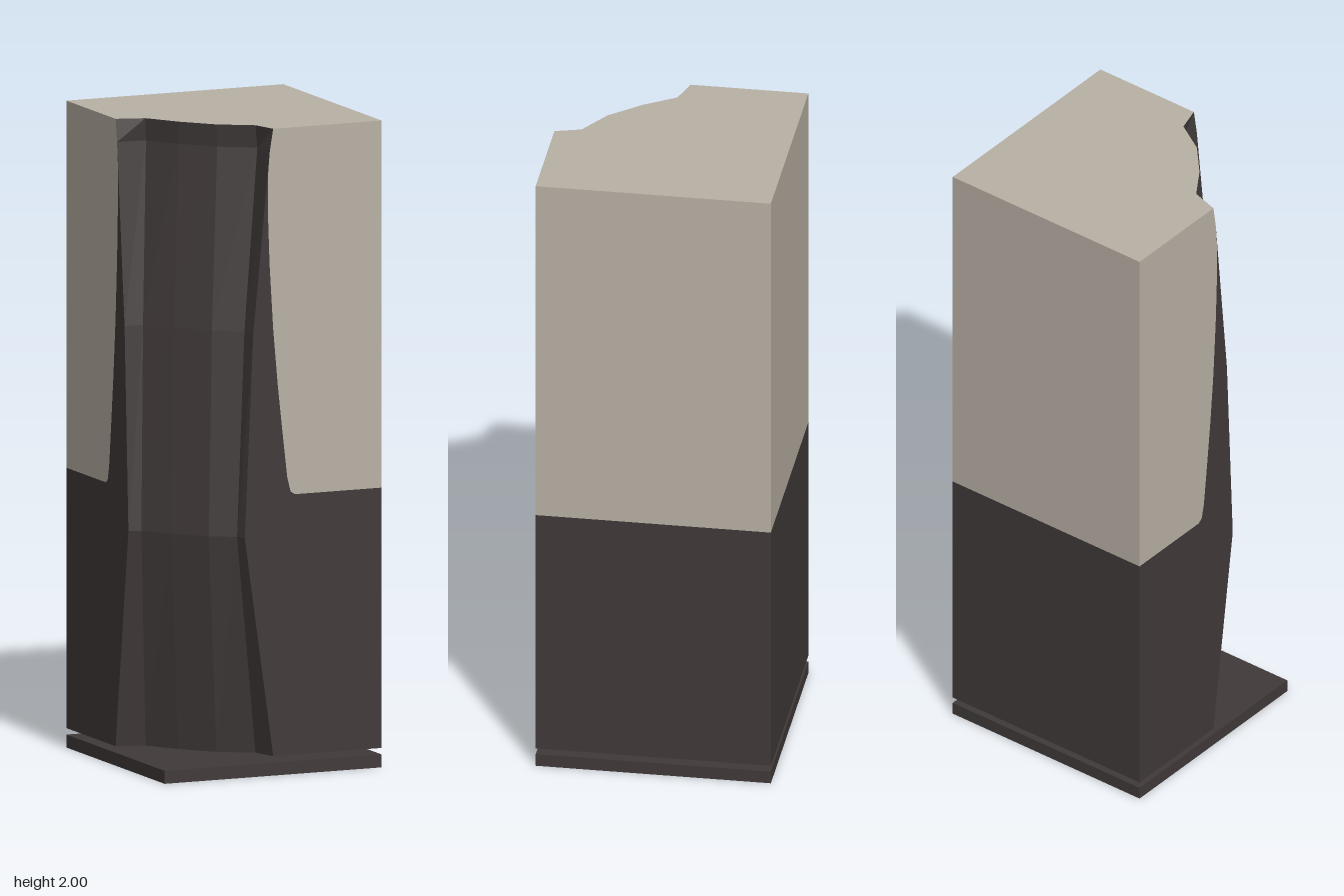
import * as THREE from 'three';

const H = 0.363, Y0 = 0.06, Y1 = 2, SPLIT = 0.865;

// Plan outline (x, z) of the faceted corner cut: at the two ends and at its most bulging height
const END = [[-H, 0], [-0.275, 0.027], [-0.21, 0.125], [-0.125, 0.22], [-0.023, 0.283], [0, H]];
const BULGE = [[-H, 0.095], [-0.325, 0.107], [-0.262, 0.186], [-0.18, 0.285], [-0.105, 0.328], [-0.095, H]];

// Levels: height, blend to the bulge on the outer edges, blend on the inner ridges
const LEVELS = [[Y0, 0, 0], [0.74, 1, 1], [1.37, 0.7, 0.6], [1.93, 0.12, -0.1], [Y1, 0, 0]];

function outlineAt([, edge, inner]) {
  return END.map(([x, z], i) => {
    const t = i === 0 || i === END.length - 1 ? edge : inner;
    return [x + (BULGE[i][0] - x) * t, z + (BULGE[i][1] - z) * t];
  });
}

// Flat-sided facets between successive levels
function cutGeometry() {
  const pos = [];
  const rows = LEVELS.map((l) => outlineAt(l).map(([x, z]) => [x, l[0], z]));
  for (let l = 0; l < rows.length - 1; l++) {
    for (let i = 0; i < END.length - 1; i++) {
      const a = rows[l][i], b = rows[l][i + 1], c = rows[l + 1][i + 1], d = rows[l + 1][i];
      pos.push(...a, ...b, ...c, ...a, ...c, ...d);
    }
  }
  const g = new THREE.BufferGeometry();
  g.setAttribute('position', new THREE.Float32BufferAttribute(pos, 3));
  g.computeVertexNormals();
  return g;
}

const flat = (pts) => new THREE.ShapeGeometry(new THREE.Shape(pts.map(([x, y]) => new THREE.Vector2(x, y))));

export function createModel() {
  const model = new THREE.Group();
  model.name = 'tower';
  const dark = new THREE.MeshStandardMaterial({ color: 0x403a39 });
  dark.name = 'charcoal';
  const light = new THREE.MeshStandardMaterial({ color: 0xb9b1a5 });
  light.name = 'warm stone';

  const add = (name, geometry, material) => {
    const m = new THREE.Mesh(geometry, material);
    m.name = name;
    model.add(m);
    return m;
  };

  // Base plate, separated from the body by a thin gap
  add('basePlate', new THREE.BoxGeometry(2 * H, 0.04, 2 * H), dark).position.y = 0.02;

  // Faceted corner cut
  add('cornerCut', cutGeometry(), dark);

  // Top and underside
  const plan = [...END, [H, H], [H, -H], [-H, -H]];
  add('top', flat(plan.map(([x, z]) => [x, -z])).rotateX(-Math.PI / 2), light).position.y = Y1;
  add('underside', flat(plan).rotateX(Math.PI / 2), dark).position.y = Y0;

  // Full two-tone walls
  for (const [name, x, z, turn] of [['back', 0, -H, Math.PI], ['leftSide', H, 0, Math.PI / 2]]) {
    for (const [tone, lo, hi, mat] of [['Lower', Y0, SPLIT, dark], ['Upper', SPLIT, Y1, light]]) {
      const m = add(name + tone, new THREE.PlaneGeometry(2 * H, hi - lo), mat);
      m.position.set(x, (lo + hi) / 2, z);
      m.rotation.y = turn;
    }
  }

  // Walls beside the cut: a curved colour boundary sweeps up to the cut edge
  const edge = LEVELS.map(([y, t]) => [-0.095 * t, y]);
  const sweep = [[H, SPLIT], [0.072, SPLIT], [0.058, 0.875], [0.047, 0.92], [0.03, 1.07], [0.015, 1.21],
    [0, 1.38], [-0.012, 1.58], [-0.018, 1.75], [-0.018, 1.85]];
  const lower = [[H, Y0], ...sweep, ...[...edge.slice(0, 4)].reverse()];
  const upper = [...sweep, edge[3], edge[4], [H, Y1]];
  for (const [tone, pts, mat] of [['Lower', lower, dark], ['Upper', upper, light]]) {
    add('front' + tone, flat(pts).translate(0, 0, H), mat);
    const mirrored = pts.map(([x, y]) => [-x, y]);
    add('rightSide' + tone, flat(mirrored).translate(0, 0, H).rotateY(-Math.PI / 2), mat);
  }

  return model;
}
